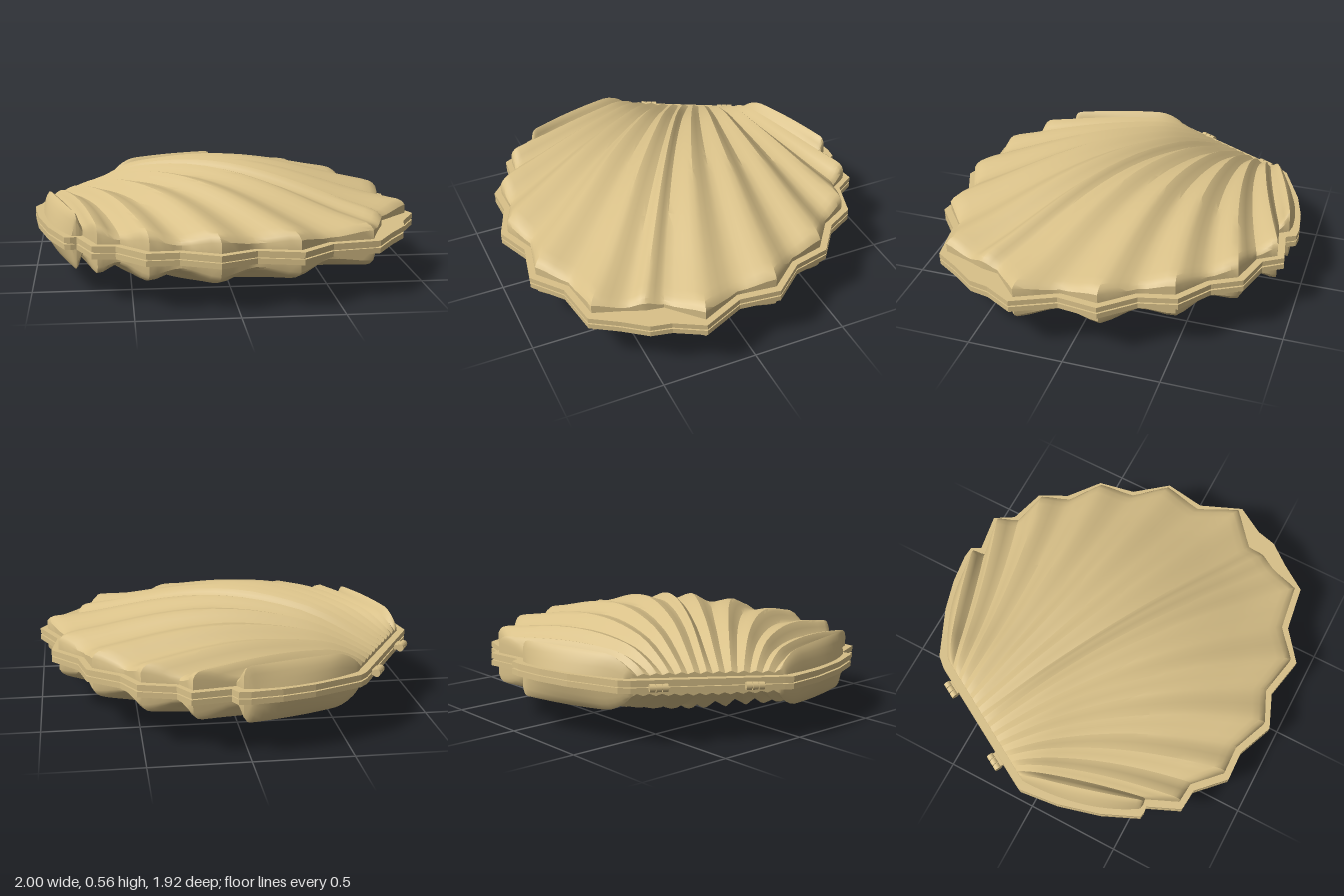
import * as THREE from 'three';
import { toCreasedNormals } from 'three/addons/utils/BufferGeometryUtils.js';

// Scalloped edge as x, z pairs: valley, peak, valley ... for the 13 lobes
const SCALLOP = [
  [0.0, -0.965], [0.06, -0.96], [0.085, -0.91], [0.28, -0.94], [0.34, -0.84], [0.525, -0.785],
  [0.6, -0.64], [0.76, -0.515], [0.8, -0.325], [0.935, -0.16], [0.905, 0.05], [1, 0.27],
  [0.915, 0.415], [0.89, 0.52], [0.8, 0.635], [0.71, 0.77], [0.47, 0.805], [0.31, 0.93],
  [0.09, 0.885], [-0.09, 0.957], [-0.28, 0.88], [-0.44, 0.885], [-0.58, 0.75], [-0.695, 0.74],
  [-0.77, 0.57], [-0.8, 0.575], [-0.83, 0.57],
].map(([x, z]) => new THREE.Vector2(x, z));

// The ribbed shell follows the rim but has shorter wings and a stunted middle lobe
const TIPS = SCALLOP.map((p) => p.clone());
TIPS[0].set(-0.02, -0.965);
TIPS[1].set(0.03, -0.955);
TIPS[2].set(0.06, -0.905);
TIPS[12].set(0.83, 0.425);
TIPS[13].set(0.81, 0.52);
TIPS[14].set(0.77, 0.61);

// Straight hinge side and the curved sides of the two wings
const HINGE_A = new THREE.Vector2(-0.585, -0.775);
const HINGE_B = new THREE.Vector2(-0.995, -0.06);
const sideA = [[-0.61, -0.745], [-0.57, -0.79], [-0.32, -0.9], [-0.155, -0.945]];
const sideB = [[-0.915, 0.38], [-0.975, 0.16], [-1, -0.05], [-0.98, -0.09]];
const toV = ([x, z]) => new THREE.Vector2(x, z);
const OUTLINE = [...sideA.map(toV), ...SCALLOP, ...sideB.map(toV)];

const ALONG = new THREE.Vector2(0.49, -0.87); // direction of the hinge
const FORWARD = new THREE.Vector2(0.87, 0.49); // from hinge to tip
const LOBES = 13, COLS = 8, INSET = 0.96, SHELL_FOOT = 0.02;

// Pairs of distance along a rib and share of full height
const ROWS = [[0, 0], [0, 0.35], [0.02, 0.5], [0.05, 0.65], [0.1, 0.82], [0.16, 0.95]];
for (let r = 0.22; r < 0.93; r += 0.06) ROWS.push([r, 1]);
ROWS.push([0.95, 1], [0.975, 0.95], [0.99, 0.83], [1, 0.62], [1, 0]);

// One ribbed half; sign is 1 for the lid and -1 for the base
function shellGeometry(sign) {
  const pos = [], index = [], n = LOBES * COLS + 1;
  for (const [r, k] of ROWS) {
    for (let j = 0; j < n; j++) {
      const lobe = Math.min(Math.floor(j / COLS), LOBES - 1);
      const f = j / COLS - lobe, t = j / (n - 1), s = 1 - 2 * t, a = Math.abs(s);

      // rib path from the hinge to the scalloped edge
      const q = f < 0.5 ? 0 : 1;
      const tip = TIPS[2 * lobe + q].clone().lerp(TIPS[2 * lobe + q + 1], 2 * f - q);
      const root = HINGE_A.clone().lerp(HINGE_B, t);
      const bend = -0.55 * a * (1 - a) + 0.1 * a ** 8;
      const mid = root.clone().lerp(tip, 0.5)
        .addScaledVector(ALONG, Math.sign(s) * bend).addScaledVector(FORWARD, -0.04 * a ** 8);
      const p = root.multiplyScalar((1 - r) ** 2)
        .addScaledVector(mid, 2 * r * (1 - r)).addScaledVector(tip, r * r).multiplyScalar(INSET);

      // dome plus ribs, sharp at the hinge and rounded at the edge, flatter in the middle
      const d2 = Math.min(1, ((p.x + 0.05) ** 2 + (p.y - 0.01) ** 2) / 0.94);
      const rib = THREE.MathUtils.lerp(1 - Math.abs(2 * f - 1), 0.5 - 0.5 * Math.cos(2 * Math.PI * f), r);
      const amp = 0.032 + r * (0.006 + 0.026 * a);
      let h = 0.092 + 0.173 * (1 - d2) ** 1.65 + amp * (rib - 0.5);

      // the outermost lobes are thick, rounded wings
      const wing = lobe === 0 ? f : lobe === LOBES - 1 ? 1 - f : 1;
      let rise = k;
      if (lobe === 0 || lobe === LOBES - 1) {
        h += 0.016 * Math.sin(Math.PI * f);
        const w = Math.min(1, wing / 0.35);
        rise *= Math.sqrt(1 - (1 - w) ** 2);
      }
      pos.push(p.x, sign * (SHELL_FOOT + (h - SHELL_FOOT) * rise), p.y);
    }
  }
  for (let i = 0; i < ROWS.length - 1; i++) {
    for (let j = 0; j < n - 1; j++) {
      const a = i * n + j, b = a + 1, c = a + n, d = c + 1;
      if (sign > 0) index.push(a, b, c, b, d, c);
      else index.push(a, c, b, b, c, d);
    }
  }
  const g = new THREE.BufferGeometry();
  g.setAttribute('position', new THREE.Float32BufferAttribute(pos, 3));
  g.setIndex(index);
  return toCreasedNormals(g, 0.6);
}

// Flat plate with the shell's outline
function plateGeometry(scale, y0, y1) {
  const shape = new THREE.Shape(OUTLINE.map((p) => new THREE.Vector2(p.x * scale, -p.y * scale)));
  const g = new THREE.ExtrudeGeometry(shape, { depth: y1 - y0, bevelEnabled: false });
  return g.rotateX(-Math.PI / 2).translate(0, y0, 0);
}

export function createModel() {
  const model = new THREE.Group();
  model.name = 'shellBox';
  const gold = new THREE.MeshStandardMaterial({ color: 0xd8c088, side: THREE.DoubleSide });
  gold.name = 'pale gold';

  const body = new THREE.Group();
  body.name = 'shellBody';
  body.position.y = 0.284;
  body.rotation.x = 0.026;
  model.add(body);
  const add = (parent, geometry, name) => {
    const mesh = new THREE.Mesh(geometry, gold);
    mesh.name = name;
    parent.add(mesh);
    return mesh;
  };

  // ribbed halves, their rims and the recessed seam between them
  add(body, shellGeometry(1), 'upperShell');
  add(body, shellGeometry(-1), 'lowerShell');
  add(body, plateGeometry(1, 0.004, 0.032), 'upperRim');
  add(body, plateGeometry(1, -0.032, -0.004), 'lowerRim');
  add(body, plateGeometry(0.985, -0.005, 0.005), 'seam');

  // two hinges, each with three knuckles on a pin and a mounting block
  for (const [x, z] of [[-0.695, -0.645], [-0.93, -0.245]]) {
    const hinge = new THREE.Group();
    hinge.name = 'hinge';
    hinge.position.set(x, 0, z);
    hinge.rotation.y = Math.atan2(0.87, 0.49);
    for (const i of [-1, 0, 1]) {
      add(hinge, new THREE.CylinderGeometry(0.02, 0.02, 0.027, 12).rotateZ(Math.PI / 2), 'hingeKnuckle')
        .position.x = i * 0.031;
    }
    add(hinge, new THREE.CylinderGeometry(0.012, 0.012, 0.09, 10).rotateZ(Math.PI / 2), 'hingePin');
    add(hinge, new THREE.BoxGeometry(0.08, 0.024, 0.04), 'hingeBlock').position.z = 0.018;
    body.add(hinge);
  }
  return model;
}
